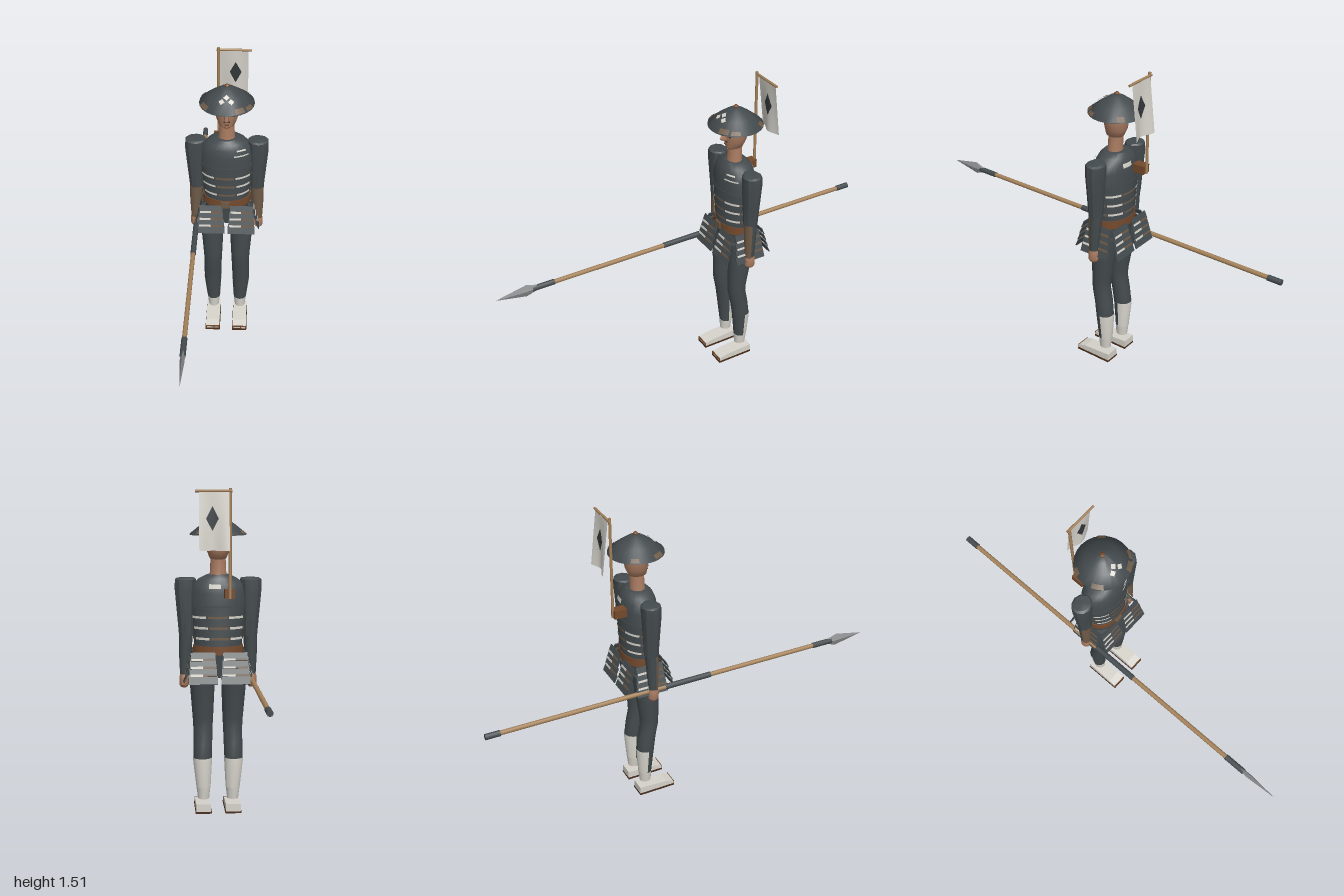
import * as THREE from 'three';
import { toCreasedNormals } from 'three/addons/utils/BufferGeometryUtils.js';

const mat = (name, color, side = THREE.FrontSide) => {
  const m = new THREE.MeshStandardMaterial({ color, side });
  m.name = name;
  return m;
};

// Stacked elliptical rings [y, cx, cz, rx, rz]; angle 0 faces +z and grows toward +x
function loft(rings, n = 16, from = 0, to = Math.PI * 2, crease = 0.6) {
  const pos = [], idx = [], row = n + 1;
  for (const [y, cx, cz, rx, rz] of rings)
    for (let j = 0; j <= n; j++) {
      const a = from + (to - from) * j / n;
      pos.push(cx + rx * Math.sin(a), y, cz + rz * Math.cos(a));
    }
  for (let i = 0; i < rings.length - 1; i++)
    for (let j = 0; j < n; j++) {
      const a = i * row + j, d = a + row;
      idx.push(a, a + 1, d + 1, a, d + 1, d);
    }
  if (to - from > 6.28) {
    [0, rings.length - 1].forEach((r, top) => {
      const [y, cx, cz] = rings[r], c = pos.length / 3;
      pos.push(cx, y, cz);
      for (let j = 0; j < n; j++) {
        const a = r * row + j;
        top ? idx.push(c, a, a + 1) : idx.push(c, a + 1, a);
      }
    });
  }
  const g = new THREE.BufferGeometry();
  g.setAttribute('position', new THREE.Float32BufferAttribute(pos, 3));
  g.setIndex(idx);
  return toCreasedNormals(g, crease);
}

export function createModel() {
  const root = new THREE.Group();
  const armour = mat('armour', 0x444b4e), skin = mat('skin', 0xa87a60), wood = mat('wood', 0xa5825a);
  const white = mat('white cloth', 0xd6d3cb, THREE.DoubleSide), leather = mat('leather', 0x74492c);
  const cloth = mat('brown cloth', 0x6f5b48, THREE.DoubleSide), steel = mat('steel', 0x8f9192);
  const sole = mat('sole', 0x4a2e1c), ink = mat('ink', 0x33383b, THREE.DoubleSide);

  const add = (name, geo, m, parent = root, x = 0, y = 0, z = 0) => {
    const mesh = new THREE.Mesh(geo, m);
    mesh.name = name;
    mesh.position.set(x, y, z);
    parent.add(mesh);
    return mesh;
  };
  const box = (name, w, h, d, m, x, y, z, parent = root) => add(name, new THREE.BoxGeometry(w, h, d), m, parent, x, y, z);
  const Z = -0.185;

  // Cuirass: rounded chest, then overlapping lames with laced seams
  add('chest', loft([[0.97, 0, Z, 0.13, 0.087], [1.04, 0, Z, 0.127, 0.085], [1.08, 0, Z, 0.115, 0.078],
    [1.105, 0, Z, 0.088, 0.068], [1.122, 0, Z, 0.052, 0.052]], 24), armour);
  for (let i = 0; i < 4; i++) {
    const y = 0.978 - i * 0.049, r = 0.124 - i * 0.005, d = 0.084 - i * 0.0015;
    add('bodyLame', loft([[y - 0.052, 0, Z, r, d + 0.002], [y, 0, Z, r + 0.003, d]], 24), armour);
    if (i < 3) for (let k = 0; k < 8; k++) {
      const a = -0.42 + k * Math.PI / 4 + i * 0.05;
      add('bodyLacing', loft([[y - 0.053, 0, Z, r + 0.003, d + 0.005], [y - 0.042, 0, Z, r + 0.003, d + 0.005]],
        4, a, a + 0.72), k % 2 ? white : cloth);
    }
  }
  add('chestRim', loft([[0.975, 0, Z, 0.132, 0.089], [0.985, 0, Z, 0.132, 0.089]], 24), armour);
  for (const [y, a, b] of [[1.083, 0.42, 0.85], [1.053, 0.3, 1.0]])
    add('chestLacing', loft([[y - 0.004, 0, Z, 0.125, 0.0845], [y + 0.003, 0, Z, y > 1.07 ? 0.116 : 0.125, 0.083]], 5, a, b), white);
  add('backPatch', loft([[1.062, 0, Z, 0.124, 0.084], [1.083, 0, Z, 0.117, 0.08]], 5, 2.75, 3.2), white);

  // Belt, buckle and hips
  add('belt', loft([[0.758, 0, Z, 0.118, 0.085], [0.797, 0, Z, 0.116, 0.084]], 24), leather);
  box('buckle', 0.04, 0.034, 0.009, cloth, -0.005, 0.777, Z + 0.086);
  add('hips', loft([[0.65, 0, Z, 0.1, 0.062], [0.77, 0, Z, 0.108, 0.076]], 20), armour);

  // Skirt panels: four tilted, laced lames each
  const panel = (name, x, z, turn, w) => {
    const g = new THREE.Group();
    g.name = name;
    g.position.set(x, 0.77, z);
    g.rotation.set(-0.25, turn, 0, 'YXZ');
    for (let i = 0; i < 4; i++) {
      const width = w + i * 0.007, y = -0.018 - i * 0.036;
      const lame = box('skirtLame', width, 0.039, 0.005, armour, 0, y, 0, g);
      lame.rotation.x = -0.15;
      if (i === 3) continue;
      for (const [m, s] of [[white, -1], [cloth, 1]])
        box('skirtLacing', width * 0.46, 0.01, 0.0085, m, s * width * 0.24, y - 0.014, 0.002, g);
    }
    root.add(g);
  };
  for (const s of [-1, 1]) {
    panel('frontSkirt', s * 0.074, -0.1, 0, 0.112);
    panel('backSkirt', s * 0.074, -0.268, Math.PI, 0.112);
    panel('sideSkirt', s * 0.122, Z, s * Math.PI / 2, 0.135);
  }

  for (const s of [-1, 1]) {
    const side = (name, rings, m, n, a, b) => add(name, loft(rings.map(([y, x, ...r]) => [y, s * x, ...r]), n, a, b), m);

    // Legs with white gaiters at the back of the shin
    side('leg', [[0.118, 0.069, -0.192, 0.032, 0.032], [0.25, 0.073, -0.19, 0.043, 0.043], [0.33, 0.071, -0.18, 0.044, 0.044],
      [0.4, 0.07, -0.166, 0.045, 0.044], [0.45, 0.07, -0.166, 0.048, 0.046], [0.6, 0.073, -0.178, 0.057, 0.058],
      [0.7, 0.073, -0.184, 0.057, 0.062]], armour, 16);
    side('ankle', [[0.065, 0.069, -0.191, 0.026, 0.028], [0.12, 0.069, -0.192, 0.033, 0.033]], white, 16);
    side('gaiter', [[0.12, 0.069, -0.192, 0.0335, 0.0335], [0.25, 0.073, -0.19, 0.0445, 0.0445],
      [0.262, 0.073, -0.189, 0.0445, 0.0445]], white, 10, Math.PI / 2, Math.PI * 1.5);

    // Sock and sandal
    const profile = new THREE.Shape([[-0.235, 0.008], [-0.052, 0.008], [-0.05, 0.026], [-0.09, 0.036], [-0.235, 0.045]]
      .map(p => new THREE.Vector2(...p)));
    const foot = new THREE.ExtrudeGeometry(profile, { depth: 0.07, bevelEnabled: false });
    foot.translate(0, 0, -0.035).rotateY(-Math.PI / 2);
    add('foot', foot, white, root, s * 0.07);
    box('sandalSole', 0.076, 0.009, 0.188, sole, s * 0.07, 0.0045, -0.142);
    box('toeStrap', 0.073, 0.006, 0.004, leather, s * 0.07, 0.024, -0.05);
    for (const t of [-0.033, 0.008, 0.033]) box('strapTie', 0.005, 0.016, 0.004, leather, s * 0.07 + t, 0.016, -0.05);

    // Arms: wide shoulder sleeve, forearm with brown cloth on the front, fist
    side('sleeve', [[0.84, 0.147, Z, 0.035, 0.034], [0.95, 0.15, Z, 0.042, 0.04], [1.06, 0.152, Z, 0.05, 0.047],
      [1.1, 0.15, Z, 0.05, 0.046], [1.107, 0.147, Z, 0.043, 0.036]], armour, 10);
    const fore = [[0.655, 0.155, Z + 0.004, 0.021, 0.022], [0.76, 0.152, Z + 0.002, 0.029, 0.028], [0.842, 0.149, Z, 0.032, 0.031]];
    side('forearm', fore, armour, 12);
    side('forearmCloth', fore.map(([y, x, z, a, b]) => [y, x, z, a + 0.0012, b + 0.0012]), cloth, 8, -1.3, 1.3);
    side('hand', [[0.598, 0.158, Z + 0.004, 0.014, 0.016], [0.61, 0.158, Z + 0.004, 0.022, 0.025],
      [0.645, 0.157, Z + 0.004, 0.023, 0.026], [0.668, 0.155, Z + 0.004, 0.019, 0.02]], skin, 12);
    box('thumb', 0.012, 0.04, 0.014, skin, s * 0.14, 0.64, Z + 0.026);

    // Eyes and brows
    box('eye', 0.026, 0.006, 0.006, ink, s * 0.026, 1.262, -0.135);
    box('brow', 0.03, 0.004, 0.006, ink, s * 0.026, 1.276, -0.135);
  }

  // Neck, head and face
  add('neck', loft([[1.1, 0, -0.182, 0.045, 0.04], [1.13, 0, -0.182, 0.038, 0.034], [1.21, 0, -0.185, 0.034, 0.034]]), skin);
  add('head', loft([[1.184, 0, -0.178, 0.024, 0.03], [1.195, 0, -0.18, 0.038, 0.043], [1.23, 0, Z, 0.052, 0.053],
    [1.27, 0, Z, 0.061, 0.057], [1.33, 0, Z, 0.06, 0.056]], 20), skin);
  add('nose', loft([[1.238, 0, -0.128, 0.012, 0.02], [1.248, 0, -0.126, 0.012, 0.026], [1.285, 0, -0.13, 0.006, 0.01]], 8), skin);
  box('moustache', 0.03, 0.004, 0.006, ink, 0, 1.229, -0.132);
  box('mouth', 0.024, 0.004, 0.006, leather, 0, 1.212, -0.134);

  // Conical hat with brown lining, worn patches, knob and small crest
  const hatRing = (r, y) => [y, 0, Z, r, r];
  const hat = [hatRing(0.13, 1.303), hatRing(0.129, 1.309), hatRing(0.078, 1.35), hatRing(0.035, 1.38), hatRing(0.012, 1.39)];
  add('hat', loft(hat, 24, 0, 6.2832, 0.8), armour);
  add('hatLining', new THREE.CircleGeometry(0.128, 24), cloth, root, 0, 1.302, Z).rotation.x = Math.PI / 2;
  add('hatKnob', loft([hatRing(0.011, 1.386), hatRing(0.012, 1.395), hatRing(0.005, 1.402)], 10), leather);
  for (const [a, b, r] of [[-1.25, -0.8, 0.112], [0.35, 0.75, 0.11], [0.85, 1.2, 0.115], [2.2, 2.5, 0.11], [4.1, 4.4, 0.114]])
    add('wornPatch', loft([hatRing(0.1305, 1.3105), hatRing(r, 1.3105 + (0.1305 - r) * 0.81)], 6, a, b), cloth);
  for (const [turn, r, y] of [[0, 0.061, 1.363], [-0.27, 0.081, 1.35], [0.27, 0.081, 1.35]]) {
    const g = new THREE.Group();
    g.name = 'hatCrest';
    g.position.set(0, 0, Z);
    g.rotation.y = turn;
    const d = add('crestDiamond', new THREE.CircleGeometry(0.015, 4), white, g, 0, y + 0.002, r + 0.002);
    d.rotation.x = -0.91;
    root.add(g);
  }

  // Back banner: bracket, pole, crossbar, rippled cloth with a diamond on both faces
  box('bannerBracket', 0.045, 0.04, 0.06, leather, -0.045, 1.042, -0.295);
  add('bannerPole', new THREE.CylinderGeometry(0.007, 0.007, 0.49, 8), wood, root, -0.045, 1.268, -0.326);
  add('bannerCrossbar', new THREE.CylinderGeometry(0.006, 0.006, 0.165, 8), wood, root, 0.028, 1.5, -0.33).rotation.z = Math.PI / 2;
  const ripple = (geo, offset) => {
    const p = geo.attributes.position;
    for (let i = 0; i < p.count; i++) {
      const x = p.getX(i), t = (1.495 - p.getY(i)) / 0.25;
      p.setZ(i, -0.334 - 0.02 * t + 0.011 * t * Math.sin(x * 45) + offset);
    }
    geo.computeVertexNormals();
    return geo;
  };
  add('banner', ripple(new THREE.PlaneGeometry(0.135, 0.256, 12, 10).translate(0.027, 1.367, 0), 0), white);
  for (const o of [-0.0025, 0.0025]) {
    const g = new THREE.PlaneGeometry(0.056, 0.11, 6, 8), p = g.attributes.position;
    for (let i = 0; i < p.count; i++) p.setX(i, p.getX(i) * (1 - Math.abs(p.getY(i)) / 0.055));
    add('bannerDiamond', ripple(g.translate(0.035, 1.38, 0), o), ink);
  }

  // Spear held level in the right hand, built upright and laid along z
  const spear = new THREE.Group();
  spear.name = 'spear';
  spear.position.set(-0.15, 0.645, 0);
  spear.rotation.x = Math.PI / 2;
  const rod = (name, from, to, r, m) =>
    add(name, new THREE.CylinderGeometry(r, r, to - from, 10), m, spear, 0, (from + to) / 2, 0);
  rod('shaft', -0.95, 0.75, 0.011, wood);
  rod('buttCap', -1, -0.93, 0.014, armour);
  rod('grip', -0.115, 0.125, 0.0135, armour);
  rod('socket', 0.71, 0.82, 0.0135, armour);
  add('blade', loft([[0.79, 0, 0, 0.009, 0.013], [0.85, 0, 0, 0.011, 0.032], [1, 0, 0, 0.0005, 0.0005]], 4, 0, Math.PI * 2, 0.2), steel, spear);
  root.add(spear);

  return root;
}
